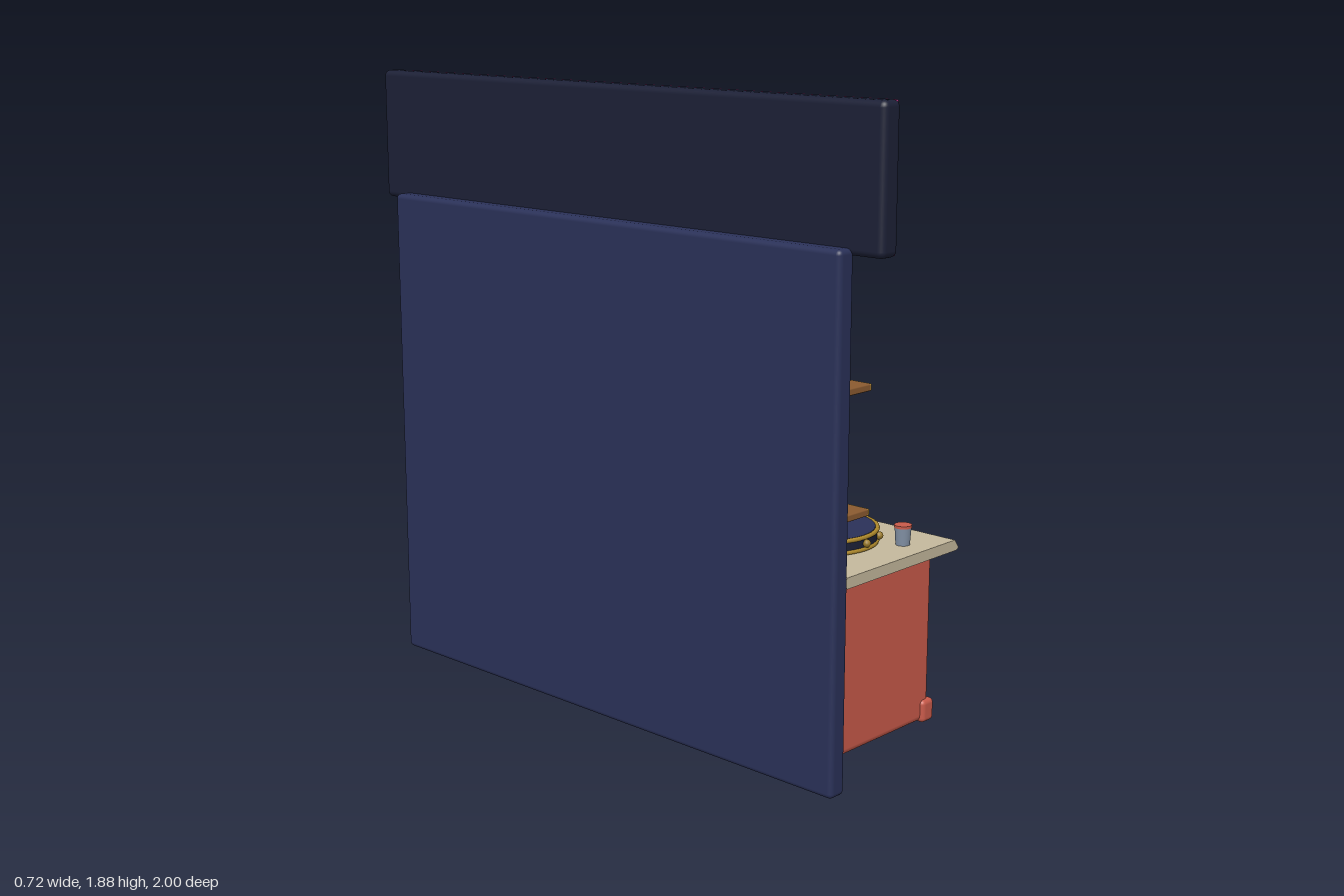
import * as THREE from 'three';
import { RoundedBoxGeometry } from 'three/addons/geometries/RoundedBoxGeometry.js';

const C = {
  navy: 0x2a3158, dark: 0x1c2036, coral: 0xc85a4a, magenta: 0xb0307c, yellow: 0xbfa435, teal: 0x1f8579,
  cream: 0xc4b89c, wood: 0x8a5a30, gold: 0xb08a2c, slate: 0x2b2f3a, steel: 0x454b59, brass: 0x9a7a2a,
  rust: 0x4a1c18, mug: 0x8291a5,
};
const mats = {};
const mat = (name) => (mats[name] ??= new THREE.MeshStandardMaterial({ color: C[name], side: THREE.DoubleSide }));

function add(parent, name, geo, color, x = 0, y = 0, z = 0) {
  const m = new THREE.Mesh(geo, mat(color));
  m.name = name;
  m.position.set(x, y, z);
  parent.add(m);
  return m;
}
// Box given by its x, y and z ranges, rounded when r > 0
function box(parent, name, color, [x0, x1], [y0, y1], [z0, z1], r = 0) {
  const s = [x1 - x0, y1 - y0, z1 - z0];
  const geo = r ? new RoundedBoxGeometry(...s, 3, r) : new THREE.BoxGeometry(...s);
  return add(parent, name, geo, color, (x0 + x1) / 2, (y0 + y1) / 2, (z0 + z1) / 2);
}
function group(parent, name, x = 0, y = 0, z = 0) {
  const g = new THREE.Group();
  g.name = name;
  g.position.set(x, y, z);
  parent.add(g);
  return g;
}

// Back wall and overhead sign board with trims and rivets
function buildWall(root) {
  box(root, 'backWall', 'navy', [-0.36, -0.3], [0, 1.5], [-0.9, 0.9], 0.015);
  const sign = group(root, 'signBoard');
  box(sign, 'board', 'dark', [-0.315, -0.247], [1.48, 1.88], [-1, 1], 0.018);
  for (const y of [1.49, 1.868]) box(sign, 'signTrim', 'magenta', [-0.25, -0.234], [y - 0.01, y + 0.01], [-0.98, 0.98], 0.004);
  for (const y of [1.58, 1.78]) for (const z of [-0.9, -0.3, 0.3, 0.9])
    add(sign, 'rivet', new THREE.SphereGeometry(0.006, 10, 6), 'steel', -0.247, y, z);
}

// One shelf with a row of seven boxes
function buildShelf(root, y, colors) {
  const shelf = group(root, 'shelf', 0, y, 0);
  box(shelf, 'shelfBoard', 'wood', [-0.3, -0.157], [0, 0.02], [-0.85, 0.85], 0.004);
  box(shelf, 'shelfEdge', 'gold', [-0.163, -0.153], [0, 0.02], [-0.85, 0.85], 0.004);
  const heights = [0.125, 0.205, 0.165];
  colors.forEach((color, i) => {
    const z = 0.69 - 0.23 * i, h = heights[i % 3];
    box(shelf, 'storageBox', color, [-0.302, -0.183], [0.02, 0.02 + h], [z - 0.082, z + 0.082], 0.01);
    const ly = 0.02 + h * 0.62;
    box(shelf, 'boxLabel', 'cream', [-0.186, -0.18], [ly - 0.009, ly + 0.009], [z - 0.05, z + 0.05]);
    box(shelf, 'priceTag', 'cream', [-0.161, -0.155], [-0.016, 0.003], [z - 0.022, z + 0.022]);
  });
}

// Counter cabinet, front frame, rails, kick board and worktop
function buildCounter(root) {
  const c = group(root, 'counter');
  box(c, 'cabinet', 'coral', [-0.155, 0.288], [0.008, 0.525], [-0.745, 0.745], 0.02);
  for (const y of [0.11, 0.49]) box(c, 'frameRail', 'coral', [0.28, 0.293], [y - 0.008, y + 0.008], [-0.71, 0.71], 0.004);
  for (const z of [-0.705, 0.705]) box(c, 'frameStile', 'coral', [0.28, 0.293], [0.11, 0.49], [z - 0.007, z + 0.007], 0.004);
  [[0.405, 'cream'], [0.295, 'yellow'], [0.185, 'cream']].forEach(([y, color]) =>
    box(c, 'decorRail', color, [0.28, 0.304], [y - 0.013, y + 0.013], [-0.725, 0.725], 0.008));
  box(c, 'kickBoard', 'coral', [0.245, 0.3], [0.005, 0.075], [-0.757, 0.757], 0.014);
  for (let i = 0; i < 9; i++)
    add(c, 'kickScrew', new THREE.SphereGeometry(0.006, 8, 6), 'rust', 0.299, 0.042, 0.66 - i * 0.165);
  for (let i = 0; i < 10; i++) {
    const s = add(c, 'scuff', new THREE.BoxGeometry(0.003, 0.006, 0.03), 'rust', 0.3, 0.04 + 0.018 * Math.sin(i * 2.3), 0.1 - i * 0.065);
    s.rotation.x = Math.sin(i * 4.1);
  }
  // Worktop profile with a sloping nose
  const p = [[-0.168, 0.535], [-0.16, 0.526], [0.35, 0.526], [0.36, 0.533], [0.34, 0.559], [-0.16, 0.559], [-0.168, 0.552]];
  const geo = new THREE.ExtrudeGeometry(new THREE.Shape(p.map((q) => new THREE.Vector2(...q))), { depth: 1.57, bevelEnabled: false });
  add(c, 'worktop', geo, 'cream', 0, 0, -0.785);
}

function buildRegister(root) {
  const g = group(root, 'cashRegister', 0, 0.559, -0.525);
  box(g, 'drawer', 'slate', [-0.06, 0.218], [0, 0.045], [-0.11, 0.11], 0.012);
  box(g, 'drawerPull', 'steel', [0.21, 0.226], [0.028, 0.038], [-0.03, 0.03], 0.004);
  box(g, 'drawerLabel', 'cream', [0.214, 0.22], [0.012, 0.022], [-0.03, 0.03]);
  box(g, 'body', 'slate', [-0.062, 0.16], [0.01, 0.166], [-0.124, 0.124], 0.018);
  box(g, 'keyDeck', 'slate', [0.09, 0.185], [0.14, 0.166], [-0.1, 0.1], 0.008);
  const head = box(g, 'display', 'steel', [-0.06, 0.07], [0.18, 0.262], [-0.113, 0.113], 0.018);
  head.rotation.z = -0.38;
  const glass = add(head, 'displayGlass', new THREE.BoxGeometry(0.004, 0.045, 0.17), 'slate', 0.064, 0, 0);
  glass.rotation.z = 0;
  for (const x of [0.125, 0.165]) for (const z of [-0.06, 0, 0.06])
    box(g, 'key', x > 0.15 && z > 0.05 ? 'coral' : 'cream', [x - 0.014, x + 0.014], [0.16, 0.182], [z - 0.019, z + 0.019], 0.005);
  const paper = box(g, 'receipt', 'cream', [-0.073, -0.069], [0.16, 0.26], [-0.035, 0.035]);
  paper.rotation.z = 0.04;
  // Side crank
  const arm = new THREE.LineCurve3(new THREE.Vector3(0.12, 0.08, -0.122), new THREE.Vector3(0.187, 0.096, -0.122));
  add(g, 'crankArm', new THREE.TubeGeometry(arm, 1, 0.005, 8), 'steel');
  add(g, 'crankKnob', new THREE.SphereGeometry(0.014, 16, 10), 'brass', 0.187, 0.096, -0.122);
}

// Open book resting on a sloping stand
function buildBook(root) {
  const stand = new THREE.Shape([[0.03, 0], [0.19, 0], [0.19, 0.02], [0.06, 0.08]].map((q) => new THREE.Vector2(...q)));
  add(root, 'bookStand', new THREE.ExtrudeGeometry(stand, { depth: 0.27, bevelEnabled: false }), 'wood', 0, 0.559, -0.09);
  const book = group(root, 'openBook', 0.122, 0.623, 0.046);
  book.rotation.z = -0.48;
  for (const s of [-1, 1]) {
    const half = group(book, s > 0 ? 'leftHalf' : 'rightHalf');
    half.rotation.x = s * 0.1;
    box(half, 'cover', 'teal', [-0.1, 0.1], [-0.008, 0.004], s > 0 ? [0, 0.185] : [-0.185, 0], 0.003);
    box(half, 'pages', 'cream', [-0.09, 0.09], [0.004, 0.028], s > 0 ? [0.006, 0.172] : [-0.172, -0.006], 0.006);
  }
}

function buildTambourine(root) {
  const g = group(root, 'tambourine', 0.07, 0.559, 0.495);
  add(g, 'shell', new THREE.CylinderGeometry(0.17, 0.17, 0.042, 48), 'dark', 0, 0.023, 0);
  add(g, 'skin', new THREE.CylinderGeometry(0.162, 0.162, 0.004, 48), 'navy', 0, 0.045, 0);
  for (const y of [0.007, 0.042]) {
    const hoop = add(g, 'hoop', new THREE.TorusGeometry(0.168, 0.007, 8, 48), 'gold', 0, y, 0);
    hoop.rotation.x = Math.PI / 2;
  }
  for (let i = 0; i < 12; i++) {
    const a = (i / 12) * Math.PI * 2;
    add(g, 'jingle', new THREE.SphereGeometry(0.012, 12, 8), 'brass', 0.175 * Math.cos(a), 0.025, 0.175 * Math.sin(a));
  }
}

export function createModel() {
  const root = new THREE.Group();
  root.name = 'shopCounter';
  buildWall(root);
  buildShelf(root, 1.095, ['magenta', 'coral', 'yellow', 'teal', 'magenta', 'coral', 'yellow']);
  buildShelf(root, 0.748, ['coral', 'yellow', 'teal', 'magenta', 'coral', 'yellow', 'teal']);
  buildCounter(root);
  buildRegister(root);
  buildBook(root);
  buildTambourine(root);
  // Small cup and call bell
  const cup = group(root, 'cup', 0.2, 0.559, 0.7);
  add(cup, 'cupBody', new THREE.CylinderGeometry(0.025, 0.021, 0.056, 24), 'mug', 0, 0.028, 0);
  add(cup, 'cupTop', new THREE.CylinderGeometry(0.026, 0.026, 0.008, 24), 'coral', 0, 0.056, 0);
  const dome = [[0.018, 0], [0.018, 0.006], [0.014, 0.015], [0.006, 0.02], [0, 0.021]].map((q) => new THREE.Vector2(...q));
  add(root, 'callBell', new THREE.LatheGeometry(dome, 20), 'brass', 0.2, 0.559, -0.25);
  return root;
}
